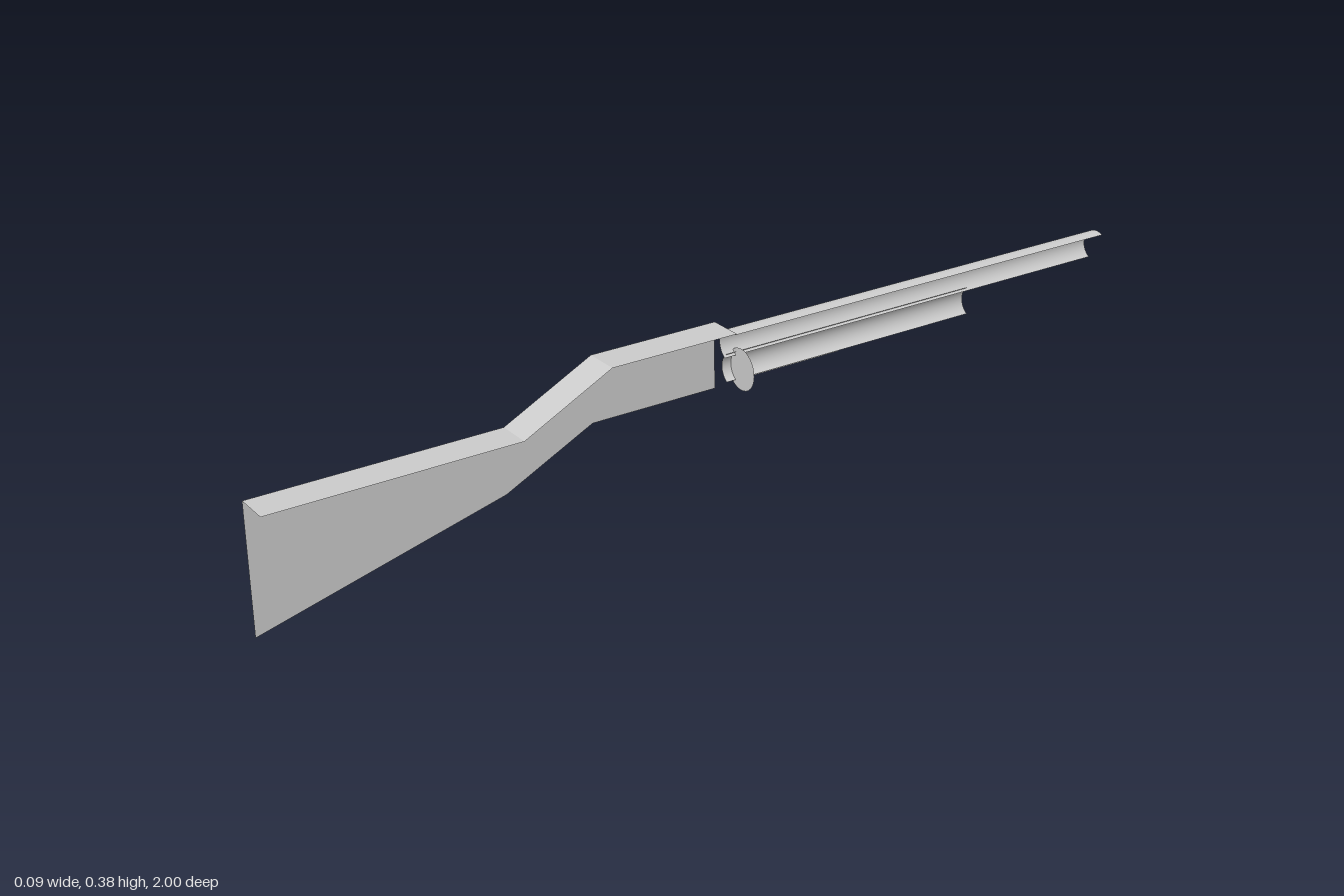
import * as THREE from 'three';

const material = new THREE.MeshStandardMaterial({ color: 0xcccccc, side: THREE.DoubleSide });
const rad = THREE.MathUtils.degToRad;

// Open trough along z: an arc from angle a0 to a1 (degrees, counter-clockwise from +x)
function trough(name, radius, y, zBack, zFront, a0, a1) {
  const length = zBack - zFront;
  const geometry = new THREE.CylinderGeometry(radius, radius, length, 24, 1, true, rad(90 - a1), rad(a1 - a0));
  geometry.rotateX(-Math.PI / 2);
  const mesh = new THREE.Mesh(geometry, material);
  mesh.name = name;
  mesh.position.set(0, y, (zBack + zFront) / 2);
  return mesh;
}

export function createModel() {
  const group = new THREE.Group();
  group.name = 'longGun';
  const half = 0.038;

  // Stock outline as [z, y]: upper and lower edges from butt to breech
  const upper = [[1, 0.28], [0.472, 0.28], [0.277, 0.379], [-0.01, 0.379]];
  const lower = [[1, 0.003], [0.472, 0.139], [0.277, 0.236], [-0.01, 0.236]];

  // Flat side panel of the stock, on the model's right
  const outline = new THREE.Shape([...upper, ...lower.reverse()].map(([z, y]) => new THREE.Vector2(z, y)));
  const side = new THREE.Mesh(new THREE.ShapeGeometry(outline).rotateY(-Math.PI / 2), material);
  side.name = 'stockSide';
  side.position.x = -half;
  group.add(side);

  // Top of the stock: one flat panel for each stretch of the upper edge
  for (let i = 0; i < upper.length - 1; i++) {
    const [z0, y0] = upper[i];
    const [z1, y1] = upper[i + 1];
    const panel = new THREE.PlaneGeometry(half * 2, Math.hypot(z1 - z0, y1 - y0)).rotateX(-Math.PI / 2);
    panel.rotateX(Math.atan2(y1 - y0, z0 - z1));
    const top = new THREE.Mesh(panel, material);
    top.name = 'stockTop' + (i + 1);
    top.position.set(0, (y0 + y1) / 2, (z0 + z1) / 2);
    group.add(top);
  }

  // Barrel, magazine tube below it, and sliding grip around the tube
  group.add(trough('barrel', 0.0355, 0.3365, -0.02, -1, 60, 240));
  group.add(trough('magazineTube', 0.035, 0.283, -0.025, -0.65, 120, 240));
  group.add(trough('slidingGrip', 0.0445, 0.281, -0.047, -0.312, 130, 232));

  // Round end plate of the grip
  const plate = new THREE.Mesh(new THREE.CircleGeometry(0.0445, 32), material);
  plate.name = 'gripEndPlate';
  plate.position.set(0, 0.281, -0.047);
  group.add(plate);

  return group;
}
